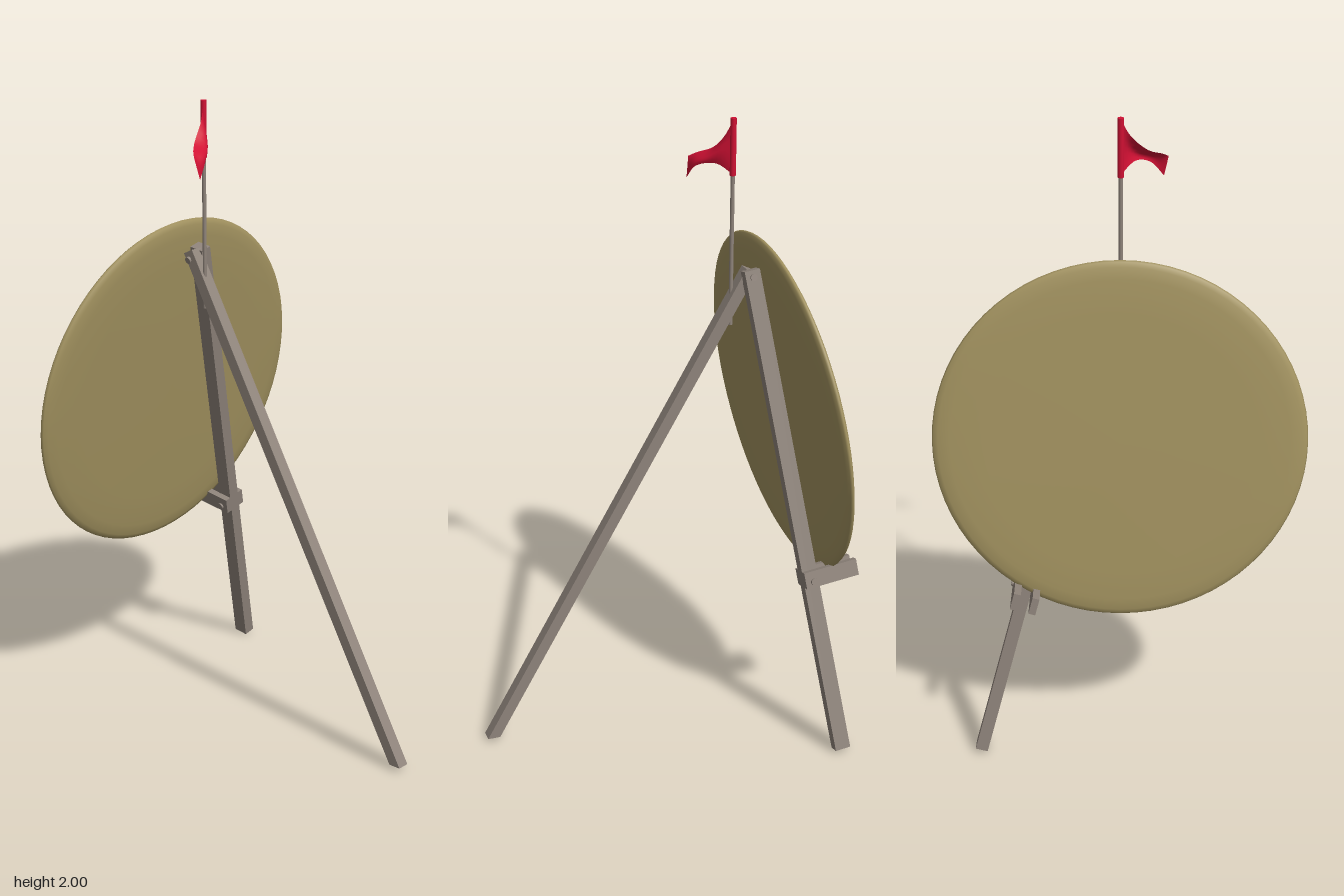
import * as THREE from 'three';

const wood = new THREE.MeshStandardMaterial({ color: 0x8f847b });
wood.name = 'weathered wood';
const straw = new THREE.MeshStandardMaterial({ color: 0xa39360 });
straw.name = 'straw';
const red = new THREE.MeshStandardMaterial({ color: 0xd01033, side: THREE.DoubleSide });
red.name = 'flag red';

const v = (x, y, z) => new THREE.Vector3(x, y, z);

function add(parent, name, geometry, material, x = 0, y = 0, z = 0) {
  const mesh = new THREE.Mesh(geometry, material);
  mesh.name = name;
  mesh.position.set(x, y, z);
  parent.add(mesh);
  return mesh;
}

// Cloth ruled between two edge curves
function flagGeometry() {
  const top = new THREE.CatmullRomCurve3([
    v(-0.252, 2, 0), v(-0.236, 1.94, 0.03), v(-0.215, 1.89, 0.08),
    v(-0.182, 1.867, 0.122), v(-0.16, 1.852, 0.14)]);
  const bottom = new THREE.CatmullRomCurve3([
    v(-0.252, 1.825, 0), v(-0.215, 1.852, 0.035), v(-0.185, 1.85, 0.06),
    v(-0.162, 1.832, 0.092), v(-0.15, 1.788, 0.127)]);
  const geometry = new THREE.PlaneGeometry(1, 1, 14, 6);
  const { position, uv } = geometry.attributes;
  for (let i = 0; i < position.count; i++) {
    const u = uv.getX(i), t = uv.getY(i);
    const p = bottom.getPoint(u).lerp(top.getPoint(u), t);
    // slight belly in the cloth
    const belly = 0.012 * Math.sin(Math.PI * t) * Math.sin(Math.PI * u);
    position.setXYZ(i, p.x + belly, p.y, p.z - belly);
  }
  geometry.computeVertexNormals();
  return geometry;
}

export function createModel() {
  const model = new THREE.Group();
  model.name = 'target stand';

  // Round straw target with softly rounded rim, leaning back
  const half = [[0.4, 0.02], [0.5, 0.017], [0.535, 0.012], [0.549, 0.006]];
  const profile = [
    [0, -0.021], ...half.map(([r, h]) => [r, -h]), [0.553, 0],
    ...half.slice().reverse(), [0, 0.021],
  ].map(([r, h]) => new THREE.Vector2(r, h));
  const target = add(model, 'target', new THREE.LatheGeometry(profile, 72), straw, -0.426, 1.06, 0);
  target.rotation.z = -Math.PI / 2 - 0.138;

  // Slanted side leg, built in its own frame with y along the beam
  const foot = v(-0.487, 0.008, -0.432), head = v(-0.302, 1.525, -0.03);
  const length = foot.distanceTo(head);
  const yAxis = head.clone().sub(foot).normalize();
  const xAxis = yAxis.clone().cross(v(0, 0, 1)).normalize();
  const zAxis = xAxis.clone().cross(yAxis);
  const legFrame = new THREE.Group();
  legFrame.name = 'sideLeg';
  legFrame.quaternion.setFromRotationMatrix(new THREE.Matrix4().makeBasis(xAxis, yAxis, zAxis));
  legFrame.position.copy(foot);
  model.add(legFrame);
  add(legFrame, 'legBeam', new THREE.BoxGeometry(0.05, length, 0.038), wood, 0, length / 2, 0);

  // Pair of bars that hold up the target
  for (const side of [-1, 1]) {
    add(legFrame, 'supportBar', new THREE.BoxGeometry(0.178, 0.053, 0.021), wood, -0.064, 0.583, side * 0.0285);
  }

  // Bolts through the bars and the leg joint
  const bolt = (name, x, y, z, len) => {
    const mesh = add(legFrame, name, new THREE.CylinderGeometry(0.011, 0.011, len, 16), wood, x, y, z);
    mesh.rotation.x = Math.PI / 2;
  };
  bolt('barBolt', -0.003, 0.575, 0, 0.09);
  bolt('jointBolt', 0, length - 0.022, 0.018, 0.086);

  // Long prop leg, cut level at the foot
  const prop = new THREE.Shape([
    [0.535, 0.015], [0.575, 0.015], [-0.293, 1.525], [-0.327, 1.508],
  ].map(([x, y]) => new THREE.Vector2(x, y)));
  add(model, 'propLeg', new THREE.ExtrudeGeometry(prop, { depth: 0.04, bevelEnabled: false }), wood, 0, 0, -0.022);

  // Flag pole, sleeve and cloth
  add(model, 'flagPole', new THREE.CylinderGeometry(0.0065, 0.0065, 0.65, 12), wood, -0.252, 1.665, 0.002);
  add(model, 'flagSleeve', new THREE.CylinderGeometry(0.0095, 0.0095, 0.178, 12), red, -0.252, 1.911, 0.002);
  add(model, 'flag', flagGeometry(), red);

  return model;
}
